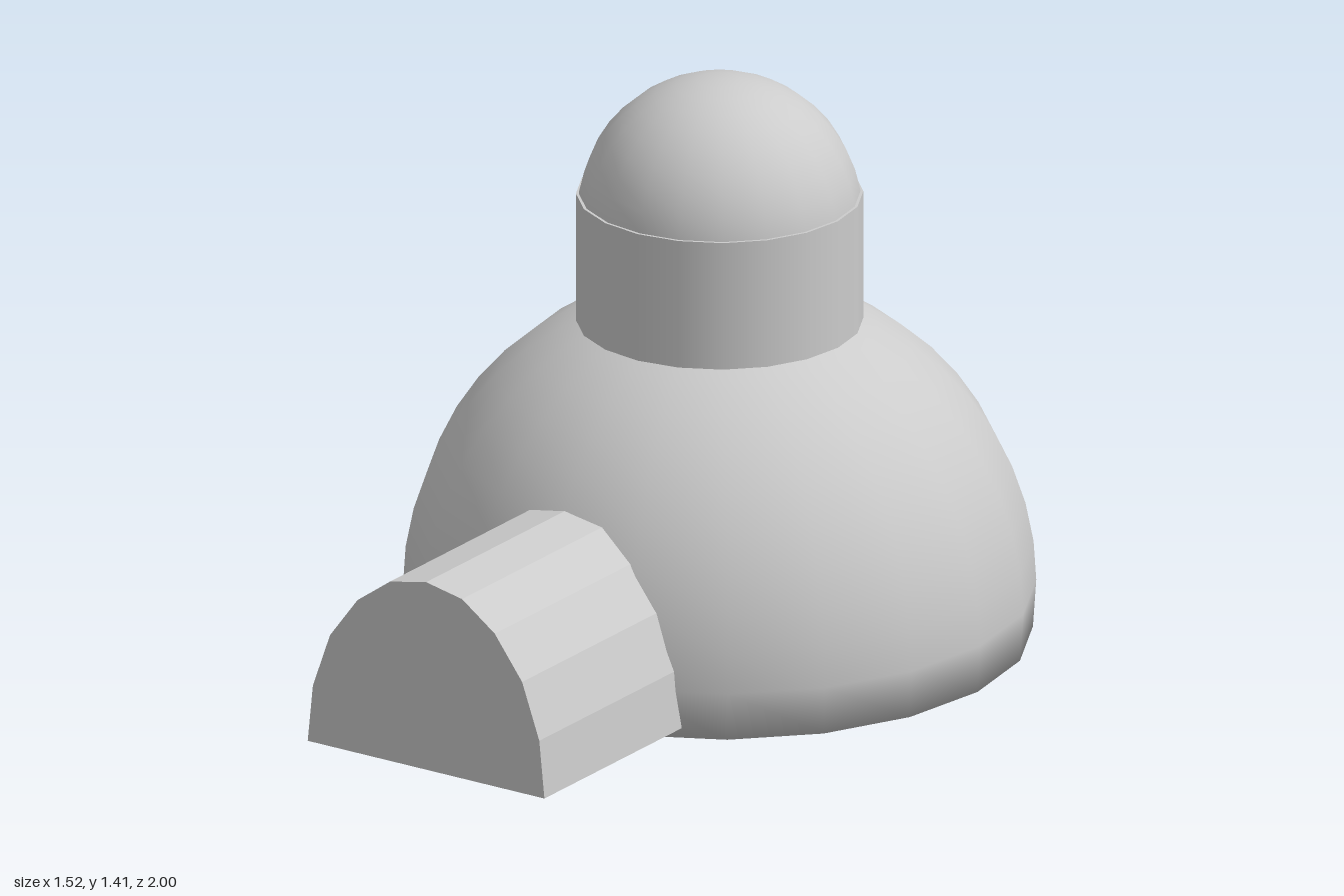
import * as THREE from 'three';

const SIDES = 20;
const CENTRE_Z = -0.24;

export function createModel() {
  const group = new THREE.Group();
  const smooth = new THREE.MeshStandardMaterial({ color: 0xcccccc });
  const flat = new THREE.MeshStandardMaterial({ color: 0xcccccc, flatShading: true });

  const add = (name, geometry, material, y, z) => {
    const mesh = new THREE.Mesh(geometry, material);
    mesh.name = name;
    mesh.position.set(0, y, z);
    group.add(mesh);
  };

  // Main dome: sphere cut just below its equator, closed by a flat base
  const radius = 0.76, centreY = 0.12;
  const profile = [new THREE.Vector2(0, 0), new THREE.Vector2(0.752, 0)];
  for (let i = 0; i <= 12; i++) {
    const a = (i / 12) * Math.PI / 2;
    profile.push(new THREE.Vector2(radius * Math.cos(a), centreY + radius * Math.sin(a)));
  }
  profile[profile.length - 1].x = 0;
  add('mainDome', new THREE.LatheGeometry(profile, SIDES), smooth, 0, CENTRE_Z);

  // Chimney neck, rising out of the dome
  add('neck', new THREE.CylinderGeometry(0.345, 0.345, 0.42, SIDES), smooth, 0.91, CENTRE_Z);

  // Rounded cap on the neck
  add('capDome', new THREE.SphereGeometry(0.342, SIDES, 20), smooth, 1.07, CENTRE_Z);

  // Arched entrance tunnel, closed at the front
  const half = [[0.345, 0.025], [0.33, 0.17], [0.28, 0.31], [0.2, 0.417], [0.105, 0.485]];
  const points = [...half, [0, 0.506], ...half.map(([x, y]) => [-x, y]).reverse()];
  const arch = new THREE.Shape(points.map(([x, y]) => new THREE.Vector2(x, y)));
  const tunnel = new THREE.ExtrudeGeometry(arch, { depth: 1 - CENTRE_Z, bevelEnabled: false });
  add('entranceTunnel', tunnel, flat, 0, CENTRE_Z);

  return group;
}
